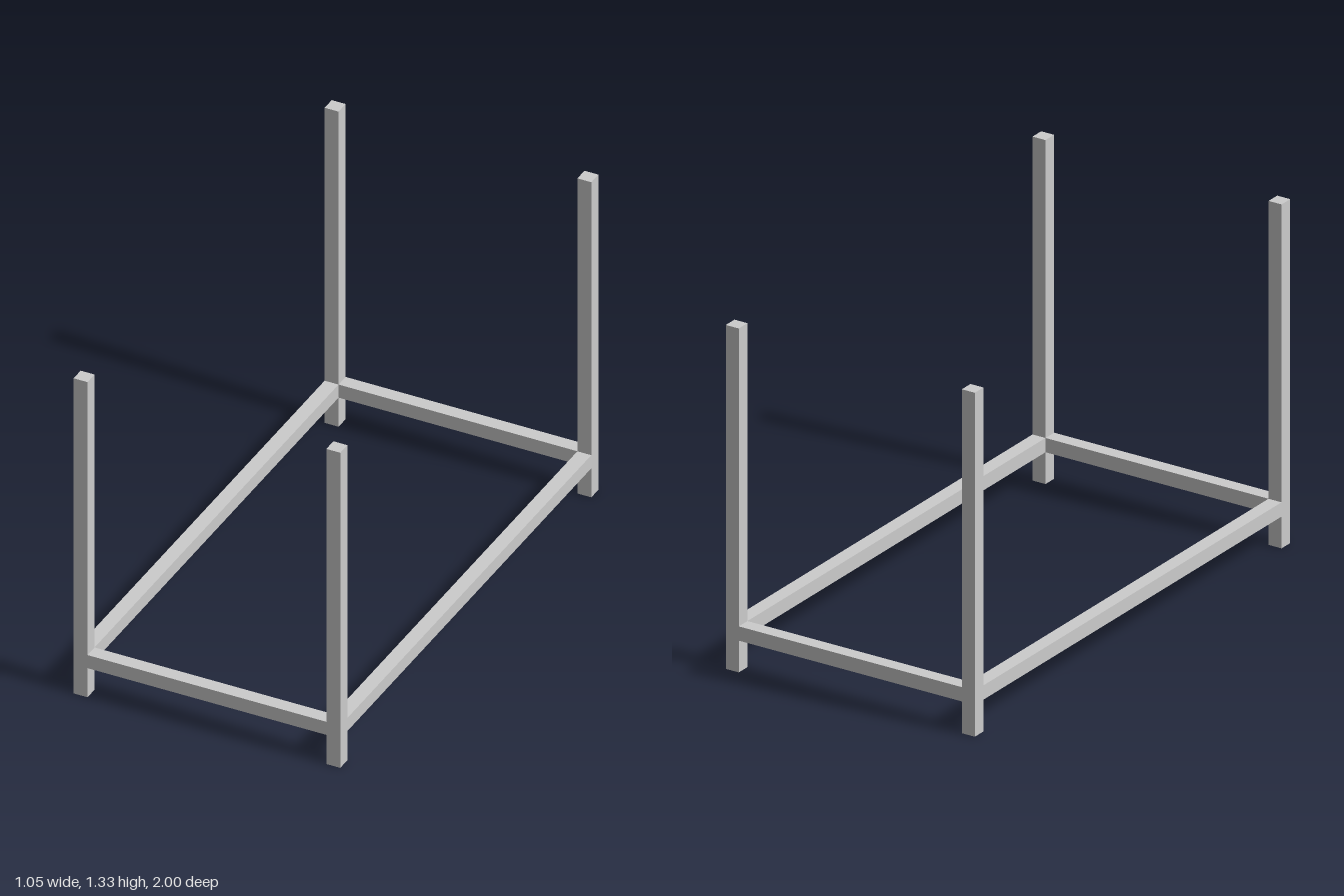
import * as THREE from 'three';

const BAR = 0.055;      // square bar thickness
const HALF_X = 0.526;   // outer half width
const HALF_Z = 1;       // outer half length
const HEIGHT = 1.325;
const RAIL_Y = 0.15;    // centre height of the rails

export function createModel() {
  const model = new THREE.Group();
  model.name = 'postFrame';
  const material = new THREE.MeshStandardMaterial({ color: 0xcccccc });

  const addBar = (name, size, position) => {
    const mesh = new THREE.Mesh(new THREE.BoxGeometry(...size), material);
    mesh.name = name;
    mesh.position.set(...position);
    model.add(mesh);
  };

  const px = HALF_X - BAR / 2;
  const pz = HALF_Z - BAR / 2;

  // Four corner posts
  for (const [xName, sx] of [['Left', 1], ['Right', -1]]) {
    for (const [zName, sz] of [['front', 1], ['back', -1]]) {
      addBar(`${zName}${xName}Post`, [BAR, HEIGHT, BAR], [sx * px, HEIGHT / 2, sz * pz]);
    }
  }

  // Long side rails between the posts
  for (const [name, sx] of [['leftRail', 1], ['rightRail', -1]]) {
    addBar(name, [BAR, BAR, 2 * (HALF_Z - BAR)], [sx * px, RAIL_Y, 0]);
  }

  // Short end rails between the posts
  for (const [name, sz] of [['frontRail', 1], ['backRail', -1]]) {
    addBar(name, [2 * (HALF_X - BAR), BAR, BAR], [0, RAIL_Y, sz * pz]);
  }

  return model;
}
